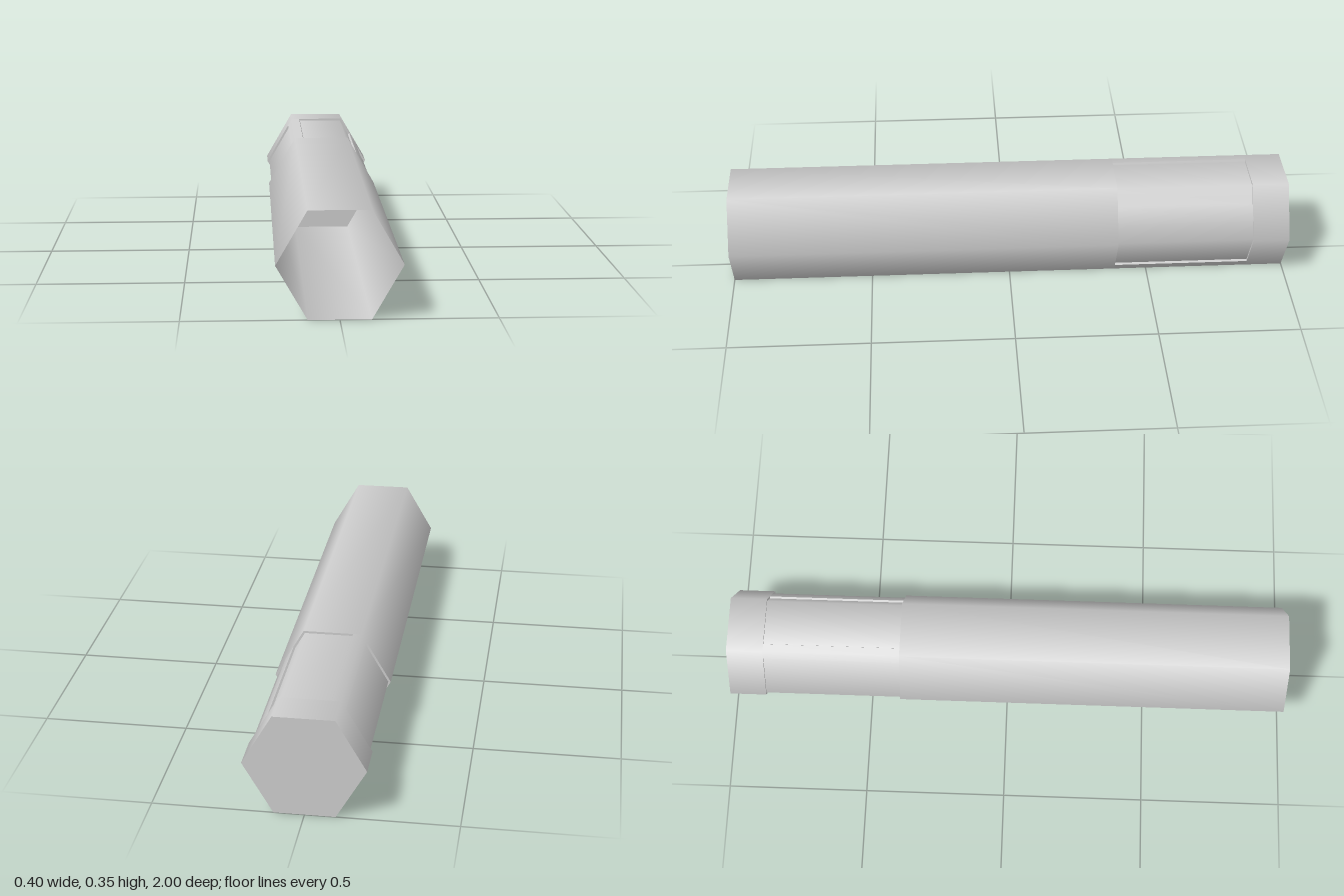
import * as THREE from 'three';

const R = 0.2015;                 // corner radius of the hexagon
const MID = R * Math.sqrt(3) / 2; // height of the axis above the ground
const SUNK = 0.957;               // recess floor scale
const Z_FRONT = 1, Z_A = -0.385, Z_B = -0.87, Z_BACK = -1;

const metal = new THREE.MeshStandardMaterial({ color: 0xcccccc, side: THREE.DoubleSide });
metal.name = 'plain grey';

// Point on the hexagon outline; s counts sides anticlockwise from the upper right corner
function outline(s, k, z) {
  const i = Math.floor(s), f = s - i;
  const a = (i + 1) * Math.PI / 3, b = a + Math.PI / 3;
  return new THREE.Vector3(
    R * k * (Math.cos(a) * (1 - f) + Math.cos(b) * f),
    R * k * (Math.sin(a) * (1 - f) + Math.sin(b) * f), z);
}

// Stretch of outline from s0 to s1, including the corners passed on the way
function row(s0, s1, k, z) {
  const list = [s0];
  for (let c = Math.floor(s0) + 1; c < s1; c++) list.push(c);
  list.push(s1);
  return list.map(s => outline(s, k, z));
}

// Surface between two rows; smooth sheets get normals pointing away from the axis
function loft(name, rowA, rowB, smooth) {
  const pos = [], nor = [];
  for (let i = 0; i < rowA.length - 1; i++) {
    const [a0, a1, b0, b1] = [rowA[i], rowA[i + 1], rowB[i], rowB[i + 1]];
    for (const p of [a0, b0, a1, a1, b0, b1]) {
      pos.push(p.x, p.y, p.z);
      const l = Math.hypot(p.x, p.y);
      nor.push(p.x / l, p.y / l, 0);
    }
  }
  const g = new THREE.BufferGeometry();
  g.setAttribute('position', new THREE.Float32BufferAttribute(pos, 3));
  if (smooth) g.setAttribute('normal', new THREE.Float32BufferAttribute(nor, 3));
  else g.computeVertexNormals();
  const m = new THREE.Mesh(g, metal);
  m.name = name;
  return m;
}

const wall = (name, s0, s1, k, z0, z1) =>
  loft(name, row(s0, s1, k, z0), row(s0, s1, k, z1), true);

const step = (name, s0, s1, z) =>
  loft(name, row(s0, s1, 1, z), row(s0, s1, SUNK, z), false);

function disc(name, z, back) {
  const m = new THREE.Mesh(new THREE.CircleGeometry(R, 6), metal);
  m.name = name;
  m.position.z = z;
  if (back) m.rotation.y = Math.PI;
  return m;
}

export function createModel() {
  const group = new THREE.Group();
  group.name = 'hexagonalTube';
  const body = new THREE.Group();
  body.name = 'body';
  body.position.y = MID;
  group.add(body);

  // Open front barrel, closed back end
  body.add(wall('barrel', 0, 6, 1, Z_FRONT, Z_A));
  body.add(wall('backCollar', 0, 6, 1, Z_B, Z_BACK));
  body.add(disc('backCap', Z_BACK, true));
  body.add(disc('innerFloor', Z_A + 0.003, false));

  // Four grip recesses wrapped round the corners, with ribs between them
  for (let i = 0; i < 4; i++) {
    const s0 = -0.35 + i * 1.5, s1 = s0 + 1.2, next = s0 + 1.5;
    const grip = new THREE.Group();
    grip.name = 'gripRecess';
    grip.add(wall('recessFloor', s0, s1, SUNK, Z_A, Z_B));
    grip.add(wall('rib', s1, next, 1, Z_A, Z_B));
    grip.add(step('frontStep', s0, s1, Z_A));
    grip.add(step('backStep', s0, s1, Z_B));
    for (const s of [s0, s1]) {
      grip.add(loft('sideStep',
        [outline(s, 1, Z_A), outline(s, 1, Z_B)],
        [outline(s, SUNK, Z_A), outline(s, SUNK, Z_B)], false));
    }
    body.add(grip);
  }
  return group;
}
